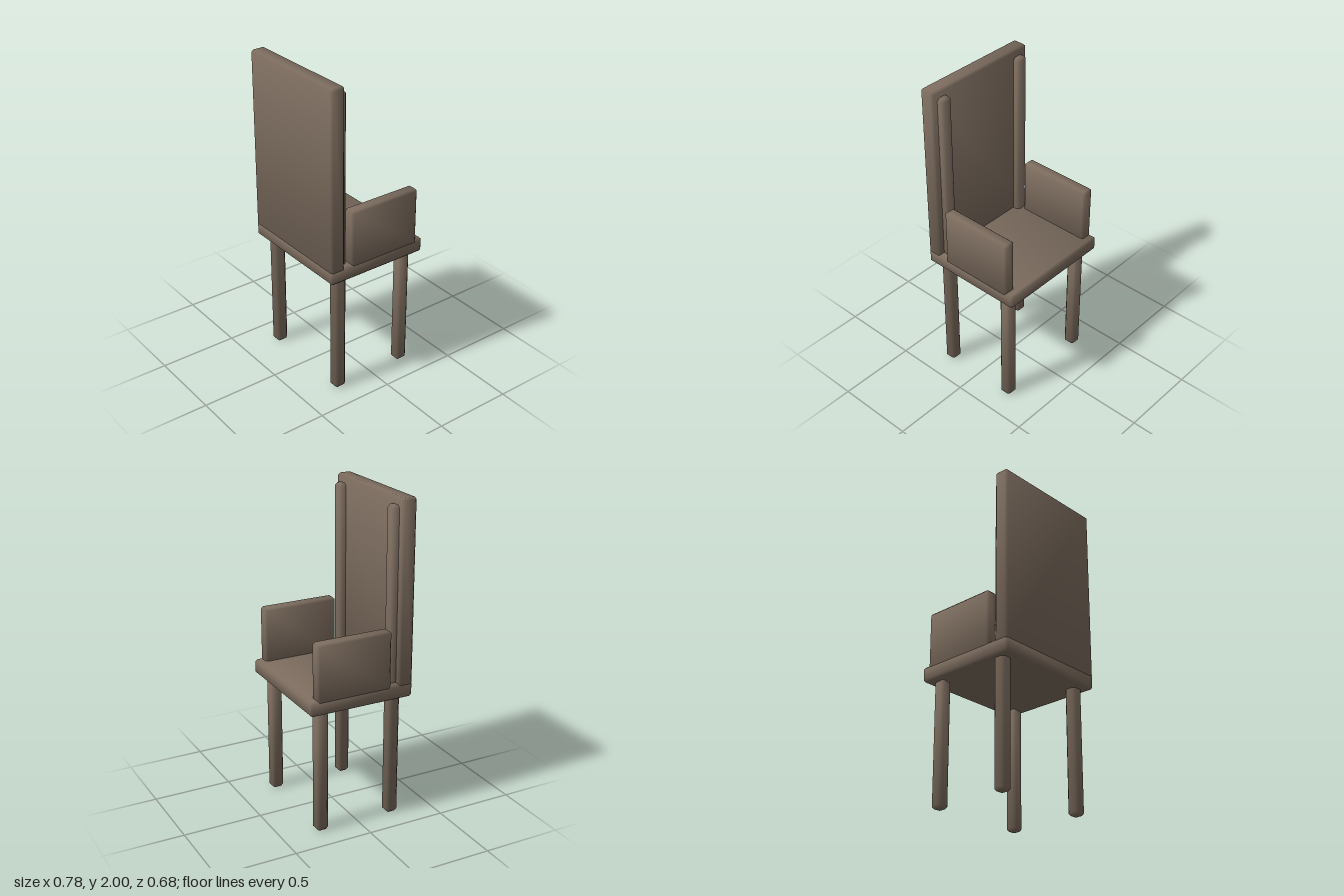
import * as THREE from 'three';
import { ConvexGeometry } from 'three/addons/geometries/ConvexGeometry.js';

const wood = new THREE.MeshStandardMaterial({ color: 0x7d6d5f });
wood.name = 'brown wood';

// Box with single chamfers on every edge and softly blended normals
function chamferBox(w, h, d, c) {
  const half = [w / 2, h / 2, d / 2];
  const points = [];
  for (let axis = 0; axis < 3; axis++)
    for (const sx of [-1, 1])
      for (const sy of [-1, 1])
        for (const sz of [-1, 1]) {
          const p = [sx, sy, sz].map((s, i) => s * (half[i] - (i === axis ? 0 : c)));
          points.push(new THREE.Vector3(...p));
        }
  const geometry = new ConvexGeometry(points);
  const pos = geometry.attributes.position;
  const normal = geometry.attributes.normal;
  const n = new THREE.Vector3();
  for (let i = 0; i < pos.count; i++) {
    // The main face leads, the neighbouring chamfers tilt it outward
    const p = [pos.getX(i), pos.getY(i), pos.getZ(i)];
    n.set(...p.map((v, k) => Math.sign(v) * (Math.abs(v) > half[k] - c / 2 ? 2.8 : 1.09))).normalize();
    normal.setXYZ(i, n.x, n.y, n.z);
  }
  return geometry;
}

// Adds a chamfered block given by its extents on each axis
function addBlock(group, name, [x0, x1], [y0, y1], [z0, z1], chamfer = 0.014) {
  const mesh = new THREE.Mesh(chamferBox(x1 - x0, y1 - y0, z1 - z0, chamfer), wood);
  mesh.name = name;
  mesh.position.set((x0 + x1) / 2, (y0 + y1) / 2, (z0 + z1) / 2);
  group.add(mesh);
}

export function createModel() {
  const chair = new THREE.Group();
  chair.name = 'armchair';

  addBlock(chair, 'seat', [-0.388, 0.388], [0.786, 0.88], [-0.34, 0.34]);
  addBlock(chair, 'backrest', [-0.388, 0.388], [0.857, 2], [0.245, 0.34]);

  for (const side of [-1, 1]) {
    const label = side > 0 ? 'left' : 'right';
    const span = (a, b) => (side > 0 ? [a, b] : [-b, -a]);
    // Short legs end under the seat; tall posts run on up the backrest
    addBlock(chair, label + 'ShortLeg', span(0.273, 0.35), [0.003, 0.787], [-0.28, -0.203], 0.016);
    addBlock(chair, label + 'TallPost', span(0.273, 0.35), [0.003, 1.953], [0.203, 0.28], 0.016);
    addBlock(chair, label + 'Armrest', span(0.31, 0.387), [0.85, 1.223], [-0.294, 0.194]);
  }
  return chair;
}
